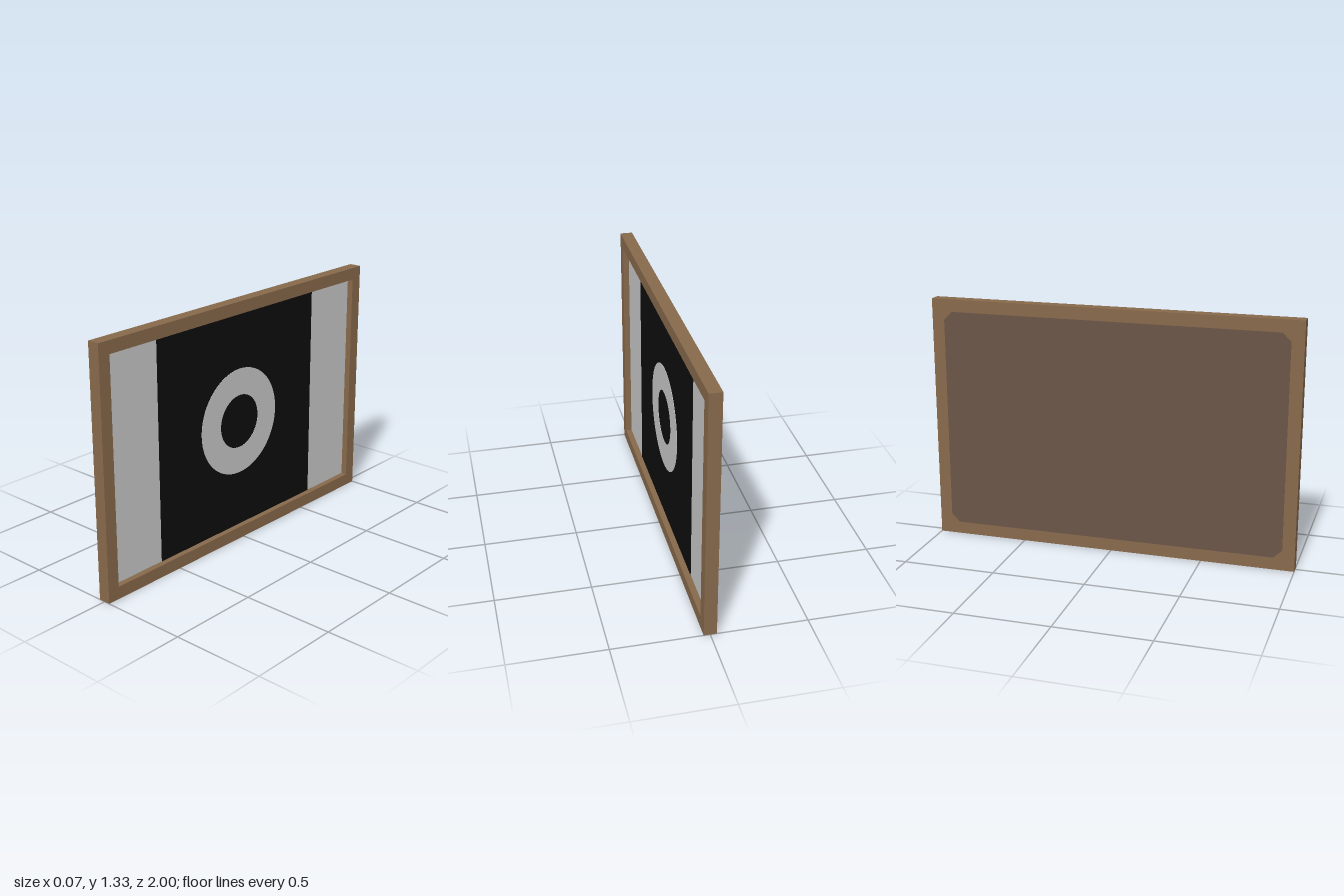
import * as THREE from 'three';

const material = (name, color) => {
  const m = new THREE.MeshStandardMaterial({ color });
  m.name = name;
  return m;
};

const W = 2, H = 1.334, DEPTH = 0.067, BORDER = 0.067;
const INNER_W = W - 2 * BORDER, INNER_H = H - 2 * BORDER;

// Rectangle centred on the origin, with optionally cut corners
function rectShape(w, h, cut = 0) {
  const a = w / 2, b = h / 2;
  const corners = cut
    ? [[-a + cut, -b], [a - cut, -b], [a, -b + cut], [a, b - cut],
       [a - cut, b], [-a + cut, b], [-a, b - cut], [-a, -b + cut]]
    : [[-a, -b], [a, -b], [a, b], [-a, b]];
  return new THREE.Shape(corners.map(([x, y]) => new THREE.Vector2(x, y)));
}

export function createModel() {
  const wood = material('wood', 0x87694b);
  const backing = material('backing brown', 0x6c5547);
  const pale = material('pale grey', 0xc8c8c8);
  const black = material('black', 0x0d0d0d);

  const model = new THREE.Group();
  model.name = 'framedPicture';

  // Parts are drawn facing +z, then the whole picture is turned to face +x
  const picture = new THREE.Group();
  picture.name = 'picture';
  picture.rotation.y = Math.PI / 2;
  picture.position.y = H / 2;
  model.add(picture);

  const addPlate = (name, shape, depth, z, mat) => {
    const geometry = new THREE.ExtrudeGeometry(shape, { depth, bevelEnabled: false, curveSegments: 48 });
    const mesh = new THREE.Mesh(geometry, mat);
    mesh.name = name;
    mesh.position.z = z;
    picture.add(mesh);
  };

  // Frame with its rectangular opening
  const frame = rectShape(W, H);
  frame.holes.push(rectShape(INNER_W, INNER_H));
  addPlate('frame', frame, DEPTH, -DEPTH / 2, wood);

  // Solid wood core behind the picture, and the cut-cornered backing on the rear
  addPlate('core', rectShape(INNER_W, INNER_H), DEPTH / 2 - 0.006, -DEPTH / 2, wood);
  addPlate('backPanel', rectShape(INNER_W, INNER_H, 0.045), 0.003, -DEPTH / 2 - 0.001, backing);

  // Pale sheet, black square and ring, recessed halfway into the frame
  addPlate('paleSheet', rectShape(INNER_W, INNER_H), 0.006, -0.006, pale);
  addPlate('blackSquare', rectShape(1.2, INNER_H), 0.002, 0, black);
  const ring = new THREE.Shape().absarc(0, 0, 0.293, 0, Math.PI * 2, false);
  ring.holes.push(new THREE.Path().absarc(0, 0, 0.147, 0, Math.PI * 2, true));
  addPlate('ring', ring, 0.002, 0.002, pale);

  return model;
}
